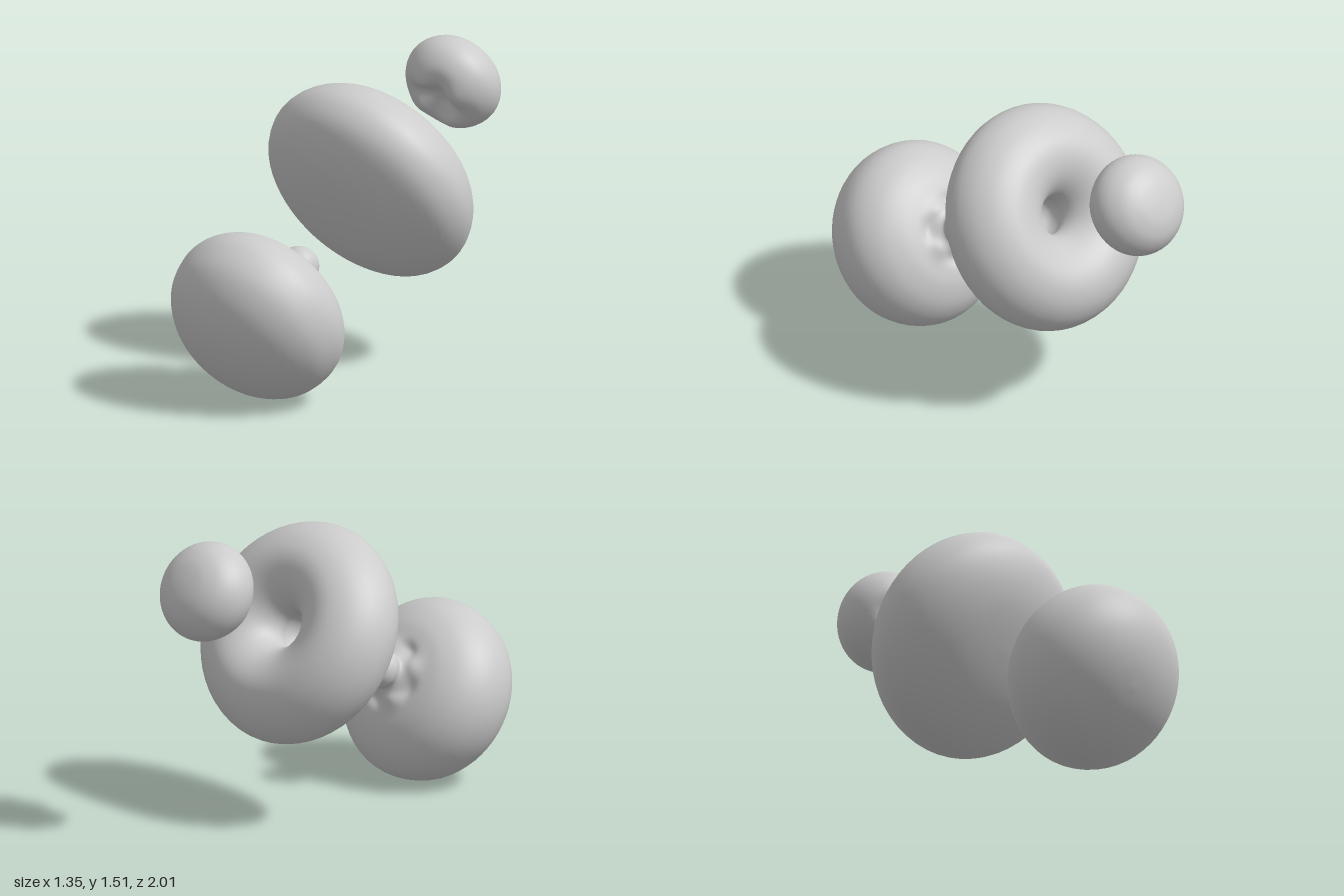
import * as THREE from 'three';
import { mergeVertices } from 'three/addons/utils/BufferGeometryUtils.js';

const material = new THREE.MeshStandardMaterial({ color: 0xcccccc, side: THREE.DoubleSide });

// Smooth body turned around the shared axis; lobes(r, t, angle) shifts a point along it.
function turned(name, profile, offset, lobes) {
  const curve = new THREE.SplineCurve(profile.map(([r, t]) => new THREE.Vector2(r, t)));
  const points = curve.getPoints(profile.length * 4);
  points.forEach((p) => { p.x = Math.max(p.x, 0); });
  points[0].x = points[points.length - 1].x = 0;
  let geometry = new THREE.LatheGeometry(points, 56);
  geometry.deleteAttribute('uv');
  geometry.deleteAttribute('normal');
  if (lobes) {
    const pos = geometry.attributes.position;
    for (let i = 0; i < pos.count; i++) {
      const x = pos.getX(i), y = pos.getY(i), z = pos.getZ(i);
      pos.setY(i, y + lobes(Math.hypot(x, z), y, Math.atan2(z, x)));
    }
  }
  geometry = mergeVertices(geometry, 1e-5);
  geometry.computeVertexNormals();
  const mesh = new THREE.Mesh(geometry, material);
  mesh.name = name;
  mesh.position.y = offset;
  return mesh;
}

const bump = (v, centre, width) => Math.exp(-(((v - centre) / width) ** 2));

export function createModel() {
  const model = new THREE.Group();
  model.name = 'explodedBodies';

  // All three bodies sit on one slanted axis
  const axis = new THREE.Group();
  axis.name = 'slantedAxis';
  axis.position.set(0.14, 0.92, -0.205);
  axis.quaternion.setFromUnitVectors(
    new THREE.Vector3(0, 1, 0), new THREE.Vector3(0.362, 0.476, -0.8).normalize());
  model.add(axis);

  // Front body: domed bun with a flared, lumpy neck and a ball peg at the back
  axis.add(turned('frontBodyWithPeg', [
    [0, -0.337], [0.12, -0.326], [0.24, -0.288], [0.35, -0.22], [0.43, -0.12],
    [0.459, 0], [0.442, 0.1], [0.38, 0.19], [0.29, 0.25], [0.21, 0.275],
    [0.15, 0.287], [0.112, 0.305], [0.09, 0.325], [0.093, 0.345], [0.1, 0.37],
    [0.092, 0.41], [0.07, 0.442], [0.036, 0.463], [0, 0.47],
  ], -1.022, (r, t, a) => (t > 0.2 && t < 0.34
    ? 0.018 * Math.cos(4 * a) * bump(r, 0.145, 0.035) : 0)));

  // Middle body: thick disc, smooth in front, with a funnel socket at the back
  axis.add(turned('middleBodyWithSocket', [
    [0, -0.27], [0.15, -0.263], [0.29, -0.24], [0.42, -0.188], [0.52, -0.11],
    [0.563, 0], [0.54, 0.11], [0.475, 0.198], [0.39, 0.25], [0.31, 0.263],
    [0.23, 0.242], [0.16, 0.195], [0.11, 0.13], [0.09, 0.06], [0.1, 0],
    [0.09, -0.055], [0.05, -0.09], [0, -0.1],
  ], -0.025));

  // Rear body: small rounded bun with a shallow lobed hollow on its front
  axis.add(turned('rearBodyWithHollow', [
    [0, -0.1], [0.04, -0.105], [0.085, -0.13], [0.125, -0.15], [0.17, -0.14],
    [0.215, -0.1], [0.245, -0.04], [0.25, 0.02], [0.23, 0.08],
    [0.185, 0.135], [0.12, 0.17], [0.06, 0.183], [0, 0.187],
  ], 0.728, (r, t, a) => (t < 0 ? 0.014 * Math.cos(4 * a) * bump(r, 0.13, 0.06) : 0)));

  return model;
}
